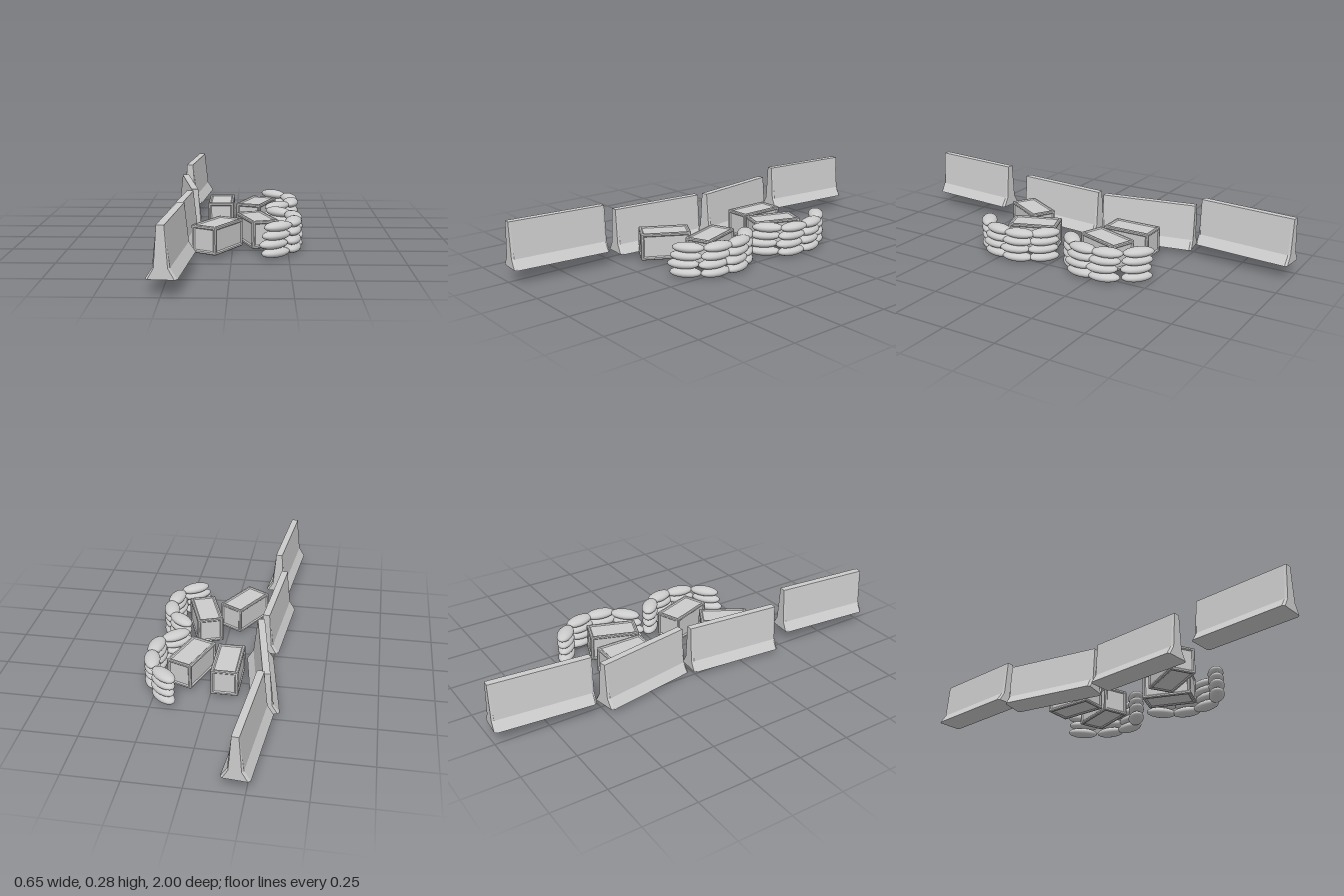
import * as THREE from 'three';

const grey = new THREE.MeshStandardMaterial({ color: 0xcccccc });
const rad = THREE.MathUtils.degToRad;

// Flat-shaded geometry from a list of quads, corners counter-clockwise
function fromQuads(quads) {
  const pos = [];
  for (const [a, b, c, d] of quads) pos.push(...a, ...b, ...c, ...a, ...c, ...d);
  const g = new THREE.BufferGeometry();
  g.setAttribute('position', new THREE.Float32BufferAttribute(pos, 3));
  g.computeVertexNormals();
  return g;
}

// Road barrier: flared profile swept along z, with bevelled end corners
function barrierGeometry() {
  const half = 0.229, bevel = 0.01;
  const ring = (z, [w0, w1, w2]) => [
    [w0, 0, z], [w1, 0.044, z], [w2, 0.209, z],
    [-w2, 0.209, z], [-w1, 0.044, z], [-w0, 0, z],
  ];
  const full = [0.062, 0.034, 0.016], end = [0.052, 0.027, 0.015];
  const rings = [
    ring(-half, end), ring(-half + bevel, full),
    ring(half - bevel, full), ring(half, end),
  ];
  const quads = [];
  for (let i = 0; i < 3; i++) {
    for (let j = 0; j < 6; j++) {
      const k = (j + 1) % 6;
      quads.push([rings[i][j], rings[i][k], rings[i + 1][k], rings[i + 1][j]]);
    }
  }
  for (const [a, b, c, d] of [[0, 1, 4, 5], [1, 2, 3, 4]]) {
    const f = rings[3], r = rings[0];
    quads.push([f[a], f[b], f[c], f[d]], [r[d], r[c], r[b], r[a]]);
  }
  return fromQuads(quads);
}

// Crate: each side is a chamfered frame around a recessed panel
function crateGeometry(size) {
  const steps = [[0.002, 0.002], [0.004, 0], [0.011, 0], [0.016, 0.005]]; // inset, depth
  const quads = [];
  for (let k = 0; k < 3; k++) {
    for (const s of [1, -1]) {
      const u = (k + 1) % 3, v = (k + 2) % 3;
      const rings = steps.map(([inset, depth]) =>
        [[-1, -1], [1, -1], [1, 1], [-1, 1]].map(([a, b]) => {
          const p = [0, 0, 0];
          p[k] = s * (size[k] / 2 - depth);
          p[u] = a * (size[u] / 2 - inset);
          p[v] = s * b * (size[v] / 2 - inset);
          return p;
        }));
      for (let i = 0; i < rings.length - 1; i++) {
        for (let j = 0; j < 4; j++) {
          const n = (j + 1) % 4;
          quads.push([rings[i][j], rings[i][n], rings[i + 1][n], rings[i + 1][j]]);
        }
      }
      quads.push(rings[rings.length - 1]);
    }
  }
  return fromQuads(quads);
}

function place(parent, name, geometry, x, y, z, degrees) {
  const mesh = new THREE.Mesh(geometry, grey);
  mesh.name = name;
  mesh.position.set(x, y, z);
  mesh.rotation.y = rad(degrees);
  parent.add(mesh);
}

function addGroup(parent, name) {
  const g = new THREE.Group();
  g.name = name;
  parent.add(g);
  return g;
}

export function createModel() {
  const model = new THREE.Group();
  model.name = 'barricade';

  // Row of barriers; the outer two sit higher
  const barriers = addGroup(model, 'barriers');
  const barrier = barrierGeometry();
  [
    [-0.227, 0.066, -0.768, -5],
    [-0.227, 0.02, -0.269, 10],
    [-0.227, 0.02, 0.221, -5],
    [-0.227, 0.066, 0.763, -5],
  ].forEach(([x, y, z, a], i) => place(barriers, `barrier${i + 1}`, barrier, x, y, z, a));

  // Crates
  const crates = addGroup(model, 'crates');
  const crate = crateGeometry([0.126, 0.126, 0.232]);
  [
    [-0.066, -0.264, 0],
    [0.108, -0.23, -20],
    [0.11, 0.165, 20],
    [-0.065, 0.294, -30],
  ].forEach(([x, z, a], i) => place(crates, `crate${i + 1}`, crate, x, 0.08, z, a));

  // Two curved sandbag walls, four bags long and four layers high
  const bag = new THREE.SphereGeometry(1, 20, 14).scale(0.037, 0.0225, 0.073);
  const arcs = [
    [[0.195, -0.437, 48], [0.272, -0.323, 14], [0.278, -0.204, -7], [0.208, -0.103, -48]],
    [[0.212, 0.042, 48], [0.277, 0.138, 14], [0.274, 0.255, -10], [0.203, 0.366, -54]],
  ];
  const layerY = [0.0225, 0.062, 0.1, 0.1375];
  const layerShift = [0.013, 0.024, 0.011, 0]; // stagger along the wall
  arcs.forEach((arc, n) => {
    const wall = addGroup(model, `sandbagWall${n + 1}`);
    layerY.forEach((y, row) => {
      arc.forEach(([x, z, a], i) => {
        const d = layerShift[row] * (i === 0 ? 0.4 : 1);
        place(wall, `sandbag${row + 1}_${i + 1}`, bag,
          x + d * Math.sin(rad(a)), y, z + d * Math.cos(rad(a)), a);
      });
    });
  });

  return model;
}
